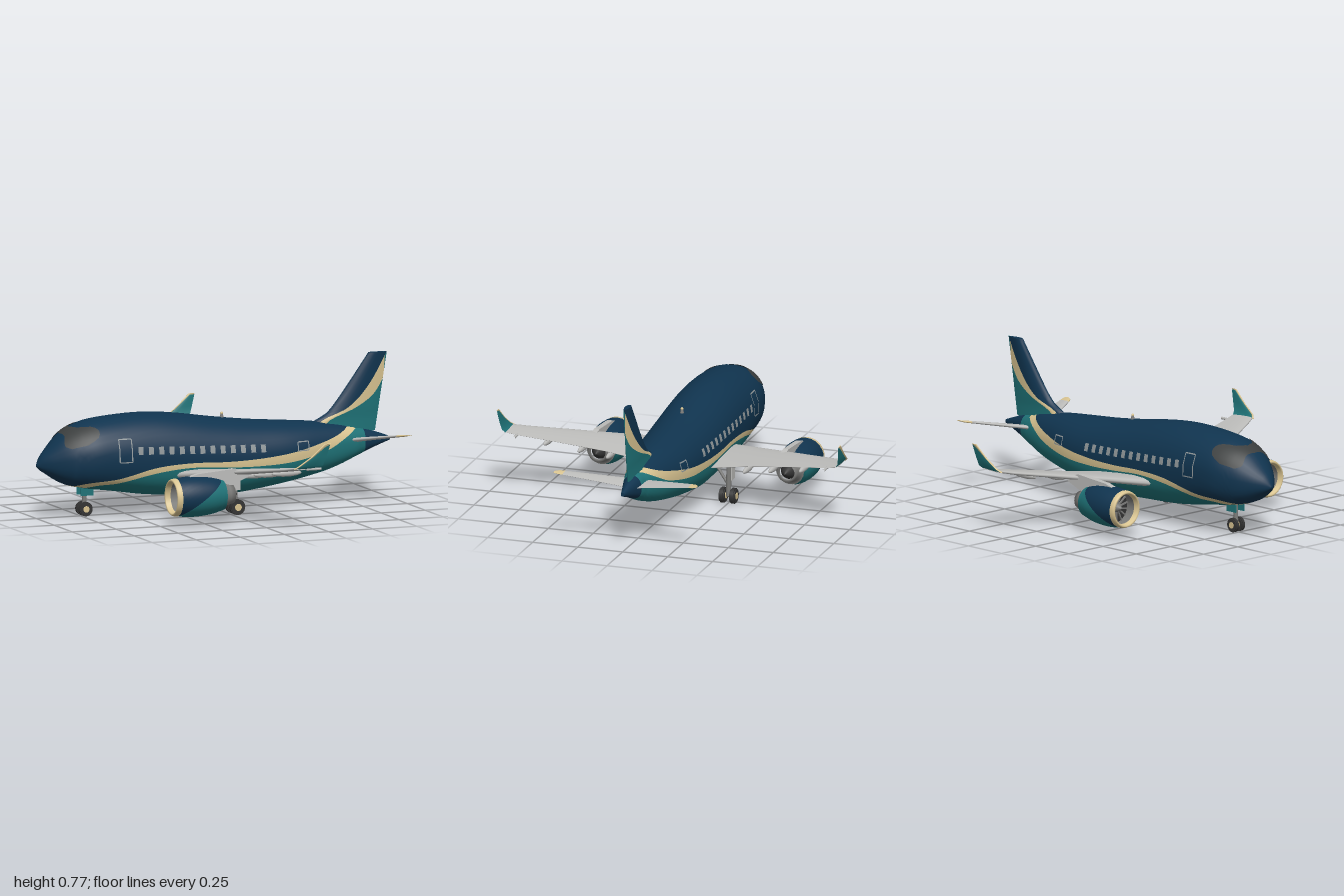
import * as THREE from 'three';

const mat = (name, color, side = THREE.FrontSide) => {
  const m = new THREE.MeshStandardMaterial({ color, side });
  m.name = name;
  return m;
};
const navy = mat('navy', 0x10344f), teal = mat('teal', 0x1f7378), cream = mat('cream', 0xdac592);
const lightGrey = mat('light grey', 0xbdbdbb), midGrey = mat('mid grey', 0x7c7c7a);
const rubber = mat('rubber', 0x343434), glass = mat('dark glass', 0x3b3e3e, THREE.DoubleSide);
const pane = mat('window grey', 0x8f9698, THREE.DoubleSide);

// Smooth curve through [x, y] pairs
function curve(pts) {
  const slope = i => {
    const a = pts[Math.max(i - 1, 0)], b = pts[Math.min(i + 1, pts.length - 1)];
    return (b[1] - a[1]) / (b[0] - a[0]);
  };
  return x => {
    if (x <= pts[0][0]) return pts[0][1];
    let i = 0;
    while (i < pts.length - 1 && x > pts[i + 1][0]) i++;
    if (i === pts.length - 1) return pts[i][1];
    const d = pts[i + 1][0] - pts[i][0], t = (x - pts[i][0]) / d, t2 = t * t, t3 = t2 * t;
    return (2 * t3 - 3 * t2 + 1) * pts[i][1] + (t3 - 2 * t2 + t) * d * slope(i)
      + (3 * t2 - 2 * t3) * pts[i + 1][1] + (t3 - t2) * d * slope(i + 1);
  };
}

// Skin over rings of points, one material per quad; faces are turned outward by signed volume
function loft(name, rings, pick, { caps = true, closed = true } = {}) {
  const n = rings[0].length, pos = rings.flat().map(p => new THREE.Vector3(...p)), tris = [];
  for (let i = 0; i < rings.length - 1; i++) for (let j = 0; j < (closed ? n : n - 1); j++) {
    const k = (j + 1) % n, a = i * n + j, b = i * n + k, c = a + n, d = b + n, m = pick(i, j);
    tris.push([a, b, d, m], [a, d, c, m]);
  }
  if (caps) for (const i of [0, rings.length - 1]) {
    const base = pos.length, mid = new THREE.Vector3();
    rings[i].forEach(p => { const v = new THREE.Vector3(...p); pos.push(v); mid.addScaledVector(v, 1 / n); });
    pos.push(mid);
    for (let j = 0; j < n; j++) {
      const a = base + j, b = base + (j + 1) % n, m = pick(Math.min(i, rings.length - 2), j);
      tris.push(i ? [a, b, base + n, m] : [b, a, base + n, m]);
    }
  }
  const o = pos.reduce((s, v) => s.add(v), new THREE.Vector3()).divideScalar(pos.length);
  const rel = pos.map(v => v.clone().sub(o));
  const vol = tris.reduce((s, [a, b, c]) => s + rel[a].dot(rel[b].clone().cross(rel[c])), 0);
  const mats = [...new Set(tris.map(t => t[3]))], index = [], geo = new THREE.BufferGeometry();
  mats.forEach((m, g) => {
    const start = index.length;
    tris.filter(t => t[3] === m).forEach(([a, b, c]) => index.push(...(vol < 0 ? [a, c, b] : [a, b, c])));
    geo.addGroup(start, index.length - start, g);
  });
  geo.setAttribute('position', new THREE.Float32BufferAttribute(pos.flatMap(v => [v.x, v.y, v.z]), 3));
  geo.setIndex(index);
  geo.computeVertexNormals();
  const mesh = new THREE.Mesh(geo, mats.length > 1 ? mats : mats[0]);
  mesh.name = name;
  return mesh;
}

// Fuselage profile and paint lines
const topY = curve([[-1, .285], [-.98, .325], [-.95, .36], [-.86, .45], [-.78, .49], [-.7, .512], [-.5, .53], [-.35, .53], [-.2, .515], [0, .485], [.2, .46], [.4, .443], [.55, .43], [.75, .40], [.9, .36], [1, .325]]);
const lowY = curve([[-1, .275], [-.98, .255], [-.95, .235], [-.88, .19], [-.8, .16], [-.6, .13], [-.4, .10], [-.2, .088], [.1, .08], [.2, .09], [.4, .12], [.6, .16], [.7, .19], [.8, .23], [.9, .27], [1, .305]]);
const halfW = curve([[-1, .006], [-.98, .035], [-.93, .085], [-.85, .142], [-.75, .182], [-.65, .195], [-.4, .2], [0, .195], [.2, .185], [.4, .165], [.6, .12], [.8, .065], [.9, .036], [1, .01]]);
const stripeTop = curve([[-.86, .14], [-.78, .185], [-.6, .21], [-.4, .26], [-.2, .275], [0, .27], [.2, .275], [.4, .295], [.6, .337], [.7, .37], [.8, .42]]);
const stripeLow = curve([[-.82, .1], [-.74, .165], [-.6, .185], [-.4, .23], [-.2, .25], [0, .24], [.2, .235], [.4, .245], [.6, .285], [.7, .33], [.8, .385], [.86, .43]]);
const POW = .78;
function skinPoint(x, a, off = 0) {
  const mid = (topY(x) + lowY(x)) / 2, h = (topY(x) - lowY(x)) / 2 + off, w = halfW(x) + off;
  const p = Math.sin(a) < 0 ? POW : 1, f = v => Math.sign(v) * Math.abs(v) ** p;
  return [x, mid + h * f(Math.sin(a)), w * f(Math.cos(a))];
}
function skinAngle(x, y) {
  const s = THREE.MathUtils.clamp((2 * y - topY(x) - lowY(x)) / (topY(x) - lowY(x)), -1, 1);
  return s >= 0 ? Math.asin(s) : -Math.asin((-s) ** (1 / POW));
}

// Thin panel on both sides of the fuselage
function panel(name, x0, x1, y0, y1, m, group) {
  for (const s of [1, -1]) {
    const rings = [x0, (x0 + x1) / 2, x1].map(x => [0, .5, 1].map(t => {
      const p = skinPoint(x, skinAngle(x, y0 + (y1 - y0) * t), .003);
      return [p[0], p[1], p[2] * s];
    }));
    group.add(loft(name, rings, () => m, { caps: false, closed: false }));
  }
}

function fuselage(group) {
  const S = 80, R = 12, xs = [], H = Math.PI / 2;
  for (let i = 0; i <= S; i++) xs.push(-1 + 2 * (i / S) ** 1.25);
  const rings = xs.map(x => {
    const a = skinAngle(x, stripeTop(x)), b = Math.min(a, skinAngle(x, stripeLow(x))), half = [];
    for (let j = 0; j < R; j++) half.push(H + (a - H) * j / R);
    half.push(a, (a + b) / 2);
    for (let j = 0; j <= R; j++) half.push(b + (-H - b) * j / R);
    const back = half.slice(1, -1).reverse().map(t => Math.PI - t);
    return [...half, ...back].map(t => skinPoint(x, t));
  });
  const half = 2 * R + 2, n = 2 * half;
  group.add(loft('fuselage', rings, (i, j) => {
    const k = j < half ? j : n - 1 - j;
    if (xs[i] < -.84 || xs[i] > .82) return navy;
    return k < R ? navy : k < R + 2 ? cream : teal;
  }));
  // wraparound windscreen
  const front = curve([[25, -.85], [35, -.875], [50, -.875], [65, -.865], [90, -.87]]);
  const rear = curve([[25, -.77], [35, -.71], [50, -.70], [60, -.73], [70, -.79], [90, -.82]]);
  const screen = [];
  for (let d = 25; d <= 155; d += 5) {
    const q = d > 90 ? 180 - d : d;
    screen.push([0, .25, .5, .75, 1].map(t => skinPoint(front(q) + (rear(q) - front(q)) * t, d * Math.PI / 180, .004)));
  }
  group.add(loft('windscreen', screen, () => glass, { caps: false, closed: false }));
  // cabin windows and door outlines
  for (let i = 0; i < 13; i++) {
    const x = -.487 + i * .0585, y = .357 - i * .0025;
    panel('cabinWindow', x - .014, x + .014, y - .02, y + .02, pane, group);
  }
  for (const [x0, x1, y0, y1] of [[-.605, -.535, .3, .42], [.42, .485, .3, .345]]) {
    for (const x of [x0, x1]) panel('doorEdge', x - .003, x + .003, y0, y1, pane, group);
    for (const y of [y0, y1]) panel('doorEdge', x0, x1, y - .003, y + .003, pane, group);
  }
}

// Wing-like surface: sections of [z, y, leading x, trailing x, thickness]
const foil = [[0, 0], [.03, .5], [.12, .85], [.3, 1], [.6, .7], [1, .06]];
function wingLoft(name, sections, m, s, lean = 0) {
  const outline = [...foil, ...foil.slice(1).reverse().map(([u, v]) => [u, -v])];
  const rings = sections.map(([z, y, a, b, t]) => outline.map(([u, v]) =>
    [a + (b - a) * u, y + v * t / 2 * (1 - lean), s * (z - v * t / 2 * lean)]));
  return loft(name, rings, () => m);
}

function fin() {
  const lead = curve([[.38, .55], [.43, .575], [.46, .635], [.53, .7], [.65, .79], [.775, .88]]);
  const lineA = curve([[.38, .575], [.43, .61], [.49, .75], [.6, .87], [.775, .985]]);
  const lineB = curve([[.38, .61], [.43, .65], [.49, .8], [.55, .9], [.63, .962], [.64, .97]]);
  const thick = curve([[0, 0], [.06, .55], [.3, 1], [.65, .7], [1, .08]]);
  const rings = [];
  for (let i = 0; i <= 24; i++) {
    const y = .36 + .415 * i / 24, L = lead(y), T = .917 + (y - .36) * .163;
    const A = Math.min(lineA(y), T), B = Math.min(Math.max(lineB(y), A), T), w = .036 - .05 * (y - .36);
    const xs = [];
    for (let k = 0; k < 6; k++) xs.push(L + (A - L) * (k / 6) ** 1.5);
    xs.push(A, (A + B) / 2, B, (B + T) / 2, T);
    const side = xs.map(x => [x, y, w * thick((x - L) / (T - L))]);
    rings.push([...side, ...side.slice(1).reverse().map(p => [p[0], p[1], -p[2]])]);
  }
  return loft('tailFin', rings, (i, j) => {
    const k = j < 10 ? j : j === 10 ? 9 : 20 - j;
    return k < 6 ? navy : k < 8 ? cream : teal;
  });
}

function add(group, name, geo, m, x = 0, y = 0, z = 0) {
  const mesh = new THREE.Mesh(geo, m);
  mesh.name = name;
  mesh.position.set(x, y, z);
  group.add(mesh);
  return mesh;
}
// Turned part along x from [radius, x] pairs, listed rear to front
const turned = pts => new THREE.LatheGeometry(pts.map(([r, x]) => new THREE.Vector2(r, -x)), 36).rotateZ(Math.PI / 2);
function rod(group, name, a, b, r, m) {
  const path = new THREE.LineCurve3(new THREE.Vector3(...a), new THREE.Vector3(...b));
  add(group, name, new THREE.TubeGeometry(path, 1, r, 10), m);
}

function engine(s) {
  const g = new THREE.Group(), H = Math.PI / 2, rings = [];
  g.name = 'engine';
  const radius = curve([[-.42, .1], [-.36, .106], [-.3, .106], [-.23, .098], [-.16, .08]]);
  for (let i = 0; i <= 20; i++) {
    const x = -.42 + .26 * i / 20, r = radius(x);
    const a = Math.asin(THREE.MathUtils.clamp((-.095 + (x + .42) * .72) / r, -1, 1)), half = [];
    for (let j = 0; j < 10; j++) half.push(H + (a - H) * j / 10);
    for (let j = 0; j <= 10; j++) half.push(a + (-H - a) * j / 10);
    rings.push([...half, ...half.slice(1, -1).reverse().map(t => Math.PI - t)]
      .map(t => [x, r * Math.sin(t), r * Math.cos(t)]));
  }
  g.add(loft('nacelle', rings, (i, j) => (j < 20 ? j : 39 - j) < 10 ? navy : teal, { caps: false }));
  add(g, 'intakeLip', turned([[.1, -.42], [.099, -.435], [.095, -.446], [.09, -.45], [.084, -.446], [.079, -.42]]), cream);
  add(g, 'intakeDuct', turned([[.079, -.42], [.082, -.36]]), midGrey);
  add(g, 'fanDisc', turned([[.082, -.365], [.026, -.365]]), rubber);
  add(g, 'spinner', turned([[.026, -.365], [.018, -.39], [0, -.41]]), midGrey);
  for (let i = 0; i < 14; i++) {
    const blade = add(g, 'fanBlade', new THREE.BoxGeometry(.008, .058, .007).translate(0, .051, 0), midGrey, -.37);
    blade.rotation.x = i * Math.PI / 7;
  }
  add(g, 'exhaustNozzle', turned([[.04, -.12], [.048, -.1], [.056, -.13], [.066, -.165], [.081, -.17]]), midGrey);
  add(g, 'exhaustCone', turned([[0, -.075], [.022, -.1], [.042, -.14]]), rubber);
  g.position.set(0, .153, .525 * s);
  return g;
}

function wheelPair(g, x, r, z, gap, w) {
  for (const d of [-gap, gap]) {
    add(g, 'tyre', new THREE.CylinderGeometry(r * .86, r * .86, w, 24).rotateX(Math.PI / 2), rubber, x, r, z + d);
    add(g, 'tyreTread', new THREE.CylinderGeometry(r, r, w * .6, 24).rotateX(Math.PI / 2), rubber, x, r, z + d);
    add(g, 'hub', new THREE.CylinderGeometry(r * .45, r * .45, w + .006, 16).rotateX(Math.PI / 2), cream, x, r, z + d);
  }
  rod(g, 'axle', [x, r, z - gap], [x, r, z + gap], .009, midGrey);
}

export function createModel() {
  const model = new THREE.Group();
  model.name = 'airliner';
  fuselage(model);
  model.add(fin());
  const pylon = new THREE.Shape([[-.37, .252], [-.3, .272], [-.1, .288], [0, .27], [-.02, .24], [-.12, .2], [-.3, .2]].map(p => new THREE.Vector2(...p)));
  for (const s of [1, -1]) {
    // wings, winglets and fairings
    model.add(wingLoft('wing', [[.1, .205, -.33, .12, .055], [.2, .217, -.275, .122, .05], [.4, .248, -.173, .13, .036], [.65, .286, -.045, .178, .026], [.85, .316, .057, .223, .018], [.92, .33, .095, .238, .014]], lightGrey, s));
    model.add(wingLoft('winglet', [[.915, .329, .094, .238, .014], [.932, .345, .115, .247, .012], [.94, .39, .18, .262, .01], [.948, .452, .252, .28, .007]], teal, s, .75));
    model.add(wingLoft('wingletEdge', [[.919, .328, .088, .1, .015], [.936, .345, .108, .121, .013], [.943, .39, .173, .186, .011], [.95, .458, .247, .283, .008]], cream, s, .75));
    for (const [z, y, x] of [[.38, .222, .08], [.53, .247, .1], [.71, .276, .13]])
      add(model, 'flapFairing', new THREE.SphereGeometry(1, 16, 10).scale(.085, .018, .015), lightGrey, x, y, s * z);
    rod(model, 'wingProbe', [.18, .314, s * .86], [.265, .314, s * .86], .007, lightGrey);
    add(model, 'pylon', new THREE.ExtrudeGeometry(pylon, { depth: .03, bevelEnabled: false }), lightGrey, 0, 0, s * .525 - .015);
    model.add(engine(s));
    // tailplane with painted tip
    model.add(wingLoft('tailplane', [[.02, .315, .72, .88, .026], [.08, .328, .765, .89, .022], [.35, .377, .895, .96, .012]], lightGrey, s));
    model.add(wingLoft('tailplaneTip', [[.35, .377, .895, .96, .012], [.38, .382, .912, .968, .01], [.397, .386, .94, .968, .005]], cream, s));
    // main landing gear
    const gear = new THREE.Group();
    gear.name = 'mainGear';
    wheelPair(gear, .025, .042, s * .25, .029, .03);
    rod(gear, 'strut', [.025, .042, s * .25], [.02, .23, s * .25], .014, midGrey);
    rod(gear, 'brace', [.025, .1, s * .25], [.02, .2, s * .18], .008, midGrey);
    add(gear, 'gearDoor', new THREE.BoxGeometry(.05, .09, .006), lightGrey, .02, .175, s * .272);
    model.add(gear);
  }
  // nose landing gear
  const nose = new THREE.Group();
  nose.name = 'noseGear';
  wheelPair(nose, -.73, .038, 0, .022, .024);
  rod(nose, 'strut', [-.73, .038, 0], [-.725, .17, 0], .012, midGrey);
  for (const s of [1, -1]) add(nose, 'gearDoor', new THREE.BoxGeometry(.07, .04, .006), teal, -.725, .13, s * .03);
  model.add(nose);
  // roof antenna
  add(model, 'antenna', new THREE.CylinderGeometry(.006, .012, .03, 10), midGrey, .05, .485, 0);
  add(model, 'beacon', new THREE.SphereGeometry(.008, 10, 8), cream, .05, .5, 0);
  return model;
}
